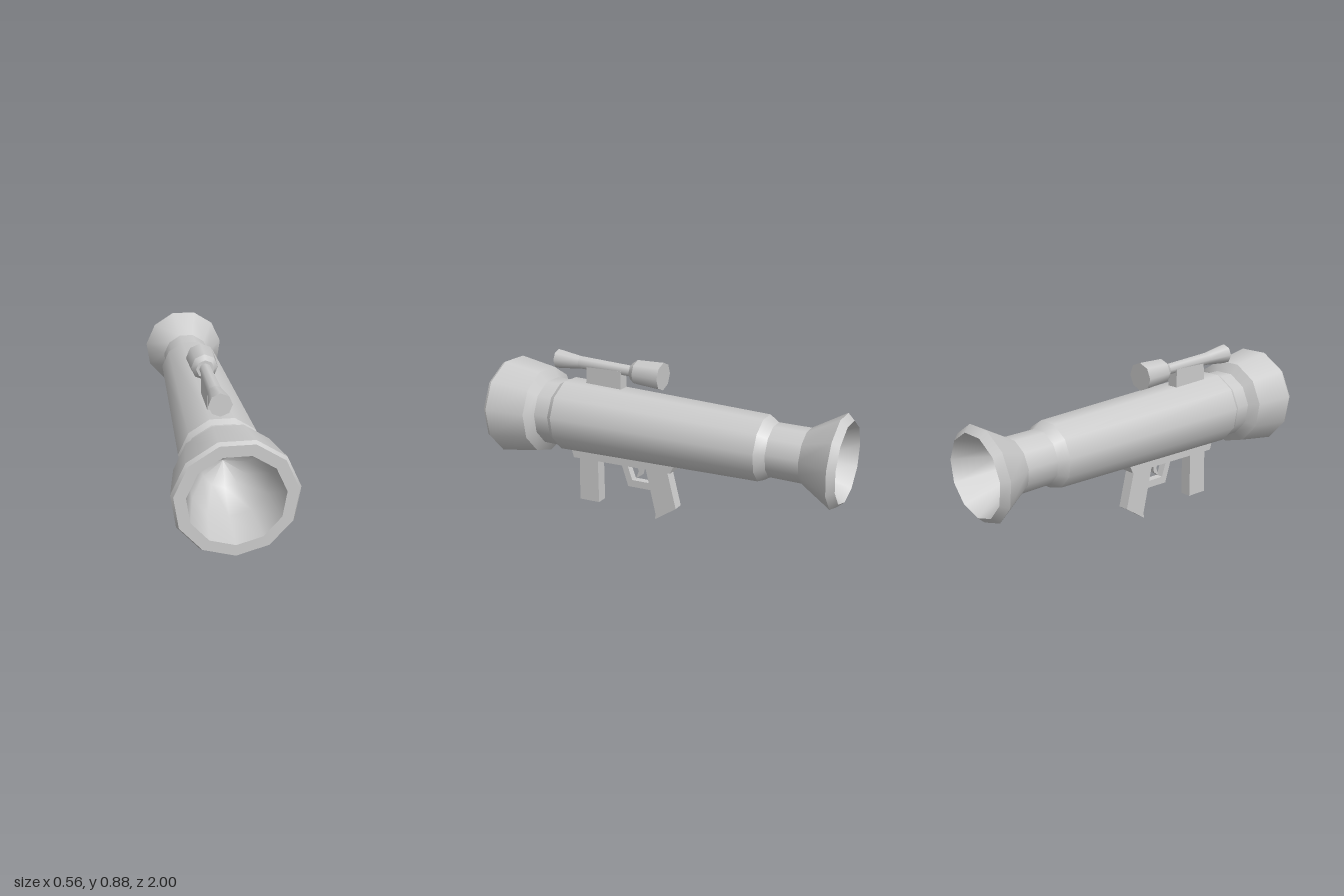
import * as THREE from 'three';
import { mergeGeometries } from 'three/addons/utils/BufferGeometryUtils.js';

const material = new THREE.MeshStandardMaterial({ color: 0xcccccc });

// Turned part along z: every band is a smooth run of [radius, z], with hard edges between bands.
function turned(name, bands, sides) {
  const geometry = mergeGeometries(bands.map((band) =>
    new THREE.LatheGeometry(band.map(([r, z]) => new THREE.Vector2(r, z)), sides)));
  geometry.rotateX(Math.PI / 2);
  const mesh = new THREE.Mesh(geometry, material);
  mesh.name = name;
  return mesh;
}

// Splits a profile into one hard-edged band per segment.
const segments = (profile) => profile.slice(1).map((p, i) => [profile[i], p]);

// Flat part: a side outline of [z, y] points given a thickness across x.
function plate(name, outline, width, x = 0) {
  const shape = new THREE.Shape(outline.map(([z, y]) => new THREE.Vector2(z, y)));
  const geometry = new THREE.ExtrudeGeometry(shape, { depth: width, bevelEnabled: false });
  geometry.translate(0, 0, -width / 2).rotateY(-Math.PI / 2);
  const mesh = new THREE.Mesh(geometry, material);
  mesh.name = name;
  mesh.position.x = x;
  return mesh;
}

export function createModel() {
  const model = new THREE.Group();
  model.name = 'launcher';

  // Tube: rear flare, neck, tapered barrel, collar and wide muzzle
  const tube = new THREE.Group();
  tube.name = 'tube';
  tube.position.y = 0.527;
  tube.add(
    turned('rearFlare', segments([[0.205, -1], [0.238, -0.965], [0.14, -0.8], [0.14, -0.63]]), 11),
    turned('barrel', segments([[0.14, -0.63], [0.172, -0.58], [0.207, 0.595], [0.19, 0.625], [0.19, 0.715]]), 11),
    turned('muzzle', segments([[0.19, 0.715], [0.246, 0.75], [0.283, 0.98], [0.272, 1], [0.218, 1]]), 11),
    // Hollow ends
    turned('muzzleBore', [[[0.218, 1], [0.185, 0.82], [0.11, 0.68], [0, 0.62]]], 11),
    turned('rearBore', [[[0, -0.66], [0.07, -0.7], [0.12, -0.8], [0.205, -1]]], 11),
  );
  model.add(tube);

  // Sight, tilted slightly down toward the eyepiece
  const sight = turned('sight', segments([
    [0, 0.015], [0.075, 0.015], [0.067, 0.17], [0.046, 0.2], [0.03, 0.2],
    [0.036, 0.53], [0.055, 0.68], [0, 0.68],
  ]), 8);
  sight.position.set(-0.022, 0.813, 0);
  sight.rotation.x = -0.026;
  model.add(sight);
  model.add(plate('sightMount', [[0.485, 0.68], [0.475, 0.82], [0.26, 0.815], [0.26, 0.68]], 0.06, -0.022));

  // Rail under the barrel with its grips and trigger
  model.add(
    plate('gripRail', [[0.58, 0.37], [0.555, 0.285], [-0.065, 0.305], [-0.095, 0.375]], 0.1),
    plate('frontGrip', [[0.525, 0.3], [0.535, 0.025], [0.405, 0.03], [0.405, 0.3]], 0.064),
    plate('rearGrip', [[0.1, 0.31], [0.035, 0.035], [0.04, 0.005], [-0.09, 0.095], [-0.035, 0.31]], 0.06),
    plate('triggerGuard', [[0.26, 0.3], [0.215, 0.165], [0.065, 0.17], [0.075, 0.21],
      [0.188, 0.207], [0.222, 0.3]], 0.04),
    plate('trigger', [[0.165, 0.31], [0.15, 0.265], [0.168, 0.218], [0.132, 0.245], [0.12, 0.31]], 0.025),
  );
  return model;
}
